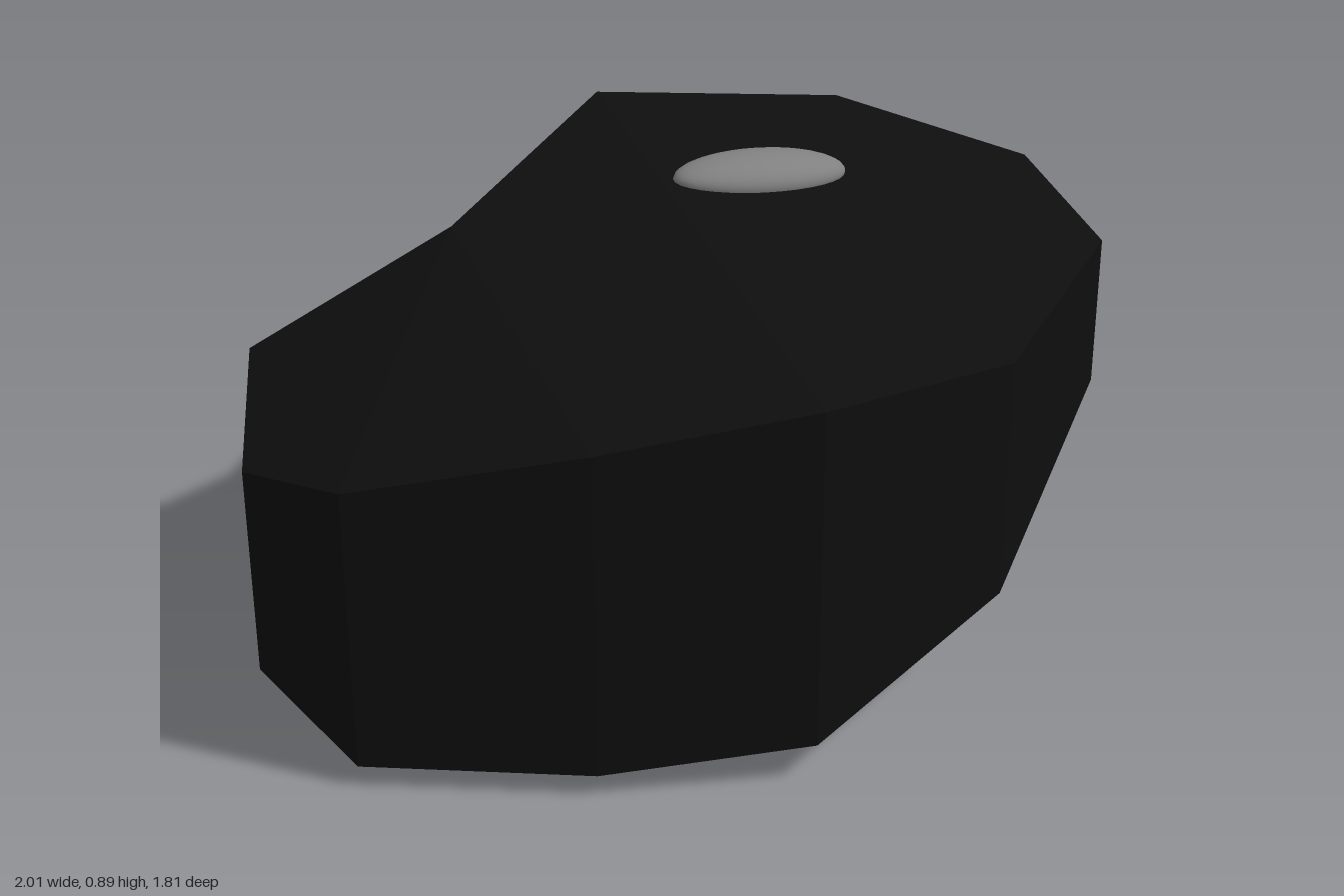
import * as THREE from 'three';

// Rim corners, clockwise from above: x, z, top height, bottom height
const RIM = [
  [-0.98, -0.08, 0.60, 0.11], [-0.51, -0.27, 0.78, 0.00], [-0.10, -0.86, 0.86, 0.05],
  [0.52, -0.91, 0.795, 0.18], [0.93, -0.59, 0.735, 0.36], [1.00, -0.50, 0.66, 0.41],
  [1.00, -0.25, 0.66, 0.41], [0.97, -0.07, 0.73, 0.37], [0.57, 0.62, 0.79, 0.24],
  [0.12, 0.90, 0.86, 0.09], [-0.33, 0.88, 0.79, 0.05], [-0.81, 0.77, 0.69, 0.05],
  [-1.00, 0.47, 0.59, 0.11],
];

function createBlock() {
  const pos = [];
  const tri = (a, b, c) => pos.push(...a, ...b, ...c);
  const top = RIM.map(([x, z, t]) => [x, t, z]);
  const bottom = RIM.map(([x, z, , b]) => [x, b, z]);

  // Side walls
  RIM.forEach((_, i) => {
    const j = (i + 1) % RIM.length;
    tri(top[i], top[j], bottom[j]);
    tri(top[i], bottom[j], bottom[i]);
  });

  // Top: left slope, right slope and the small chamfer at the right end
  for (const f of [[1, 2, 9, 10, 11, 12, 0], [2, 3, 4, 7, 8, 9], [4, 5, 6, 7]]) {
    for (let i = 1; i < f.length - 1; i++) tri(top[f[0]], top[f[i + 1]], top[f[i]]);
  }

  // Underside: two fans around the lowest corner and the crease
  const low = [-0.5, 0, 0.4];
  const crease = [0.02, 0.05, 0];
  const fan = (centre, ring) => {
    for (let i = 0; i < ring.length - 1; i++) tri(centre, ring[i], ring[i + 1]);
  };
  fan(low, [...bottom.slice(9), bottom[0], bottom[1]]);
  fan(crease, [low, ...bottom.slice(1, 10), low]);

  const geo = new THREE.BufferGeometry();
  geo.setAttribute('position', new THREE.Float32BufferAttribute(pos, 3));
  geo.computeVertexNormals();
  const mesh = new THREE.Mesh(geo, new THREE.MeshStandardMaterial({ color: 0x0e0e0e, flatShading: true }));
  mesh.name = 'block';
  return mesh;
}

export function createModel() {
  const group = new THREE.Group();
  group.name = 'facetedBlock';
  group.add(createBlock());

  // Smooth grey lumps breaking through the block's faces
  const grey = new THREE.MeshStandardMaterial({ color: 0x808080 });
  const lump = (name, position, radii, rotation = [0, 0, 0]) => {
    const mesh = new THREE.Mesh(new THREE.SphereGeometry(1, 32, 20), grey);
    mesh.name = name;
    mesh.position.set(...position);
    mesh.scale.set(...radii);
    mesh.rotation.set(...rotation);
    group.add(mesh);
  };
  lump('topLump', [0.22, 0.83, -0.345], [0.23, 0.056, 0.095], [0, 0.36, -0.13]);
  lump('bottomLump', [-0.73, 0.055, 0.31], [0.1, 0.036, 0.07]);
  lump('upperEndLump', [0.975, 0.6, -0.34], [0.03, 0.07, 0.13], [0.45, 0, 0]);
  lump('lowerEndLump', [0.975, 0.445, -0.36], [0.03, 0.03, 0.14], [0.15, 0, 0]);
  return group;
}
